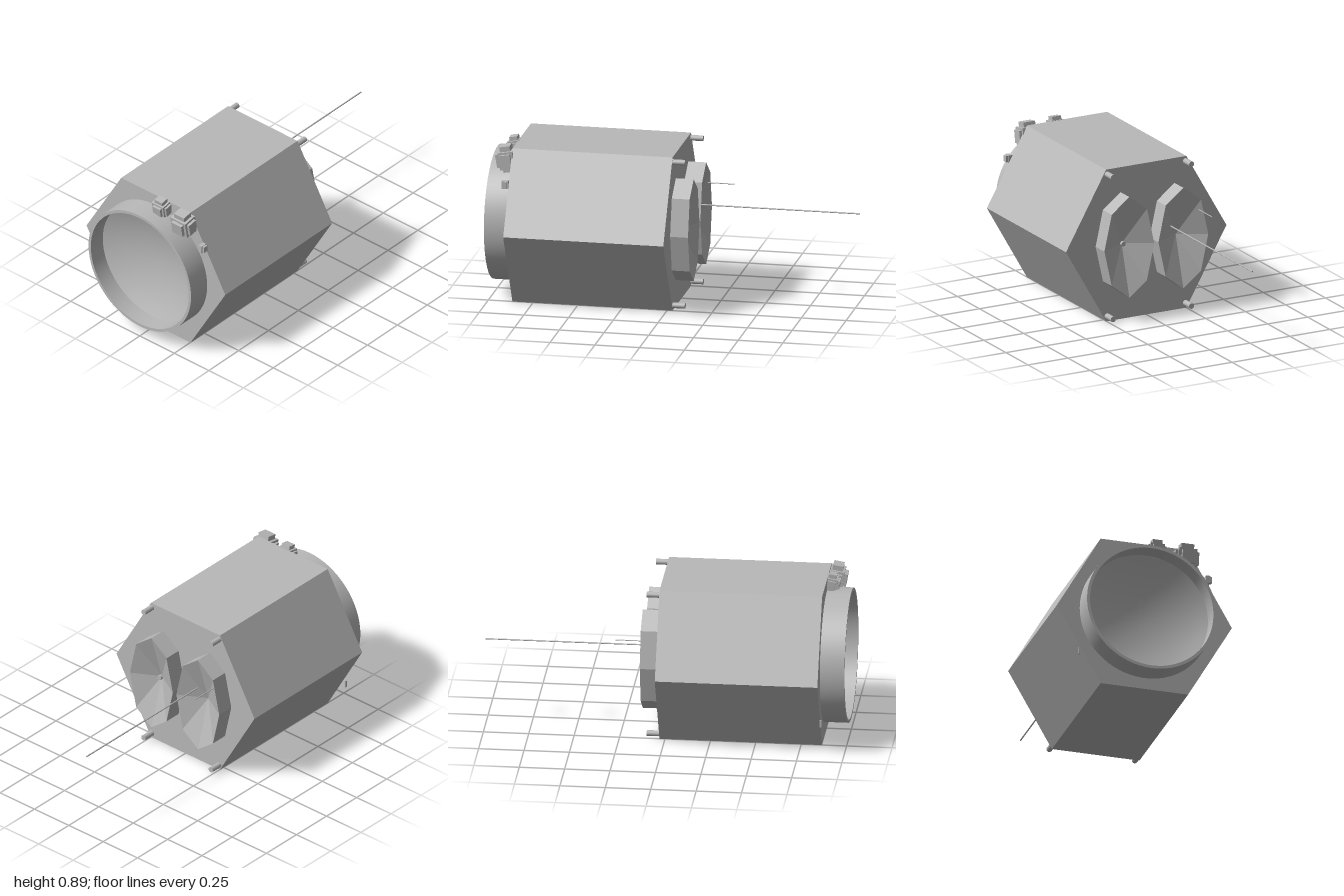
import * as THREE from 'three';
import { toCreasedNormals } from 'three/addons/utils/BufferGeometryUtils.js';

const CY = 0.437; // height of the long axis

export function createModel() {
  const model = new THREE.Group();
  const grey = new THREE.MeshStandardMaterial({ color: 0xb8b8b8 });
  grey.name = 'hull grey';

  const add = (name, geometry, x = 0, y = 0, z = 0, parent = model) => {
    const mesh = new THREE.Mesh(geometry, grey);
    mesh.name = name;
    mesh.position.set(x, y, z);
    parent.add(mesh);
    return mesh;
  };
  const box = (name, w, h, d, x, y, z, parent) =>
    add(name, new THREE.BoxGeometry(w, h, d), x, y, z, parent);
  // Cylinder lying along z between two depths
  const rod = (name, r, x, y, z0, z1, sides) =>
    add(name, new THREE.CylinderGeometry(r, r, Math.abs(z1 - z0), sides).rotateX(Math.PI / 2), x, y, (z0 + z1) / 2);

  // Hexagonal hull, open at the front for the recessed dish
  const hex = new THREE.Shape();
  for (let i = 0; i < 6; i++) {
    const a = (i * Math.PI) / 3;
    hex[i ? 'lineTo' : 'moveTo'](0.502 * Math.cos(a), 0.504 * Math.sin(a));
  }
  const back = hex.clone();
  const opening = new THREE.Path();
  opening.absarc(0, 0, 0.36, 0, Math.PI * 2, true);
  hex.holes.push(opening);
  add('hull', new THREE.ExtrudeGeometry(hex, { depth: 0.895, bevelEnabled: false, curveSegments: 48 }), 0, CY, -0.03);
  add('hullBackPlate', new THREE.ShapeGeometry(back).rotateY(Math.PI), 0, CY, -0.03);

  // Front collar with a shallow concave dish inside
  const collar = [[0.371, 0.86], [0.371, 1], [0.354, 1], [0.354, 0.9]];
  for (let i = 7; i >= 0; i--) {
    const t = i / 8;
    collar.push([0.354 * t, 0.82 + 0.08 * t * t]);
  }
  const collarGeometry = new THREE.LatheGeometry(collar.map(p => new THREE.Vector2(...p)), 64);
  add('frontCollar', toCreasedNormals(collarGeometry.rotateX(Math.PI / 2), 0.6), 0, CY, 0);

  // Two tall eight-sided reflectors on the back
  const profile = [[1, 0], [1, 0.1], [0, 0.012]].map(p => new THREE.Vector2(...p));
  for (const x of [0.161, -0.177]) {
    const dish = new THREE.LatheGeometry(profile, 8).rotateX(-Math.PI / 2).scale(0.156, 0.29, 1);
    add('rearReflector', toCreasedNormals(dish, 0.1), x, 0.44, -0.03);
  }
  rod('reflectorKnob', 0.014, 0.161, 0.44, -0.035, -0.065, 8);
  rod('longAntenna', 0.004, -0.128, 0.502, -0.05, -1, 8);
  rod('shortAntenna', 0.0028, -0.28, 0.585, -0.08, -0.27, 8);

  // Studs at the back corners
  for (const x of [-0.245, 0.245])
    for (const y of [0.03, 0.846]) rod('cornerStud', 0.016, x, y, -0.02, -0.1, 12);

  // Thruster block: a core with a smaller plate on each exposed side
  const thruster = (name, x, y, z, s) => {
    const g = new THREE.Group();
    g.name = name;
    g.position.set(x, y, z);
    g.rotation.x = 0.17;
    const p = s * 0.7;
    box('thrusterCore', s, s * 0.95, s * 0.8, 0, 0, 0, g);
    box('thrusterSides', s * 1.3, p, p * 0.8, 0, 0, 0, g);
    box('thrusterTop', p, s * 1.4, p * 0.8, 0, s * 0.05, 0, g);
    box('thrusterFront', p, p, s * 0.95, 0, 0, s * 0.1, g);
    model.add(g);
  };
  thruster('largeThruster', 0.228, 0.806, 0.895, 0.104);
  thruster('smallThruster', 0.061, 0.832, 0.885, 0.08);

  // Small sensor and a thin tab beside the collar
  box('sensorBody', 0.024, 0.044, 0.037, 0.353, 0.695, 0.885);
  box('sensorHead', 0.014, 0.036, 0.026, 0.371, 0.697, 0.885);
  box('sideTab', 0.008, 0.042, 0.012, -0.377, 0.177, 0.87);

  return model;
}
